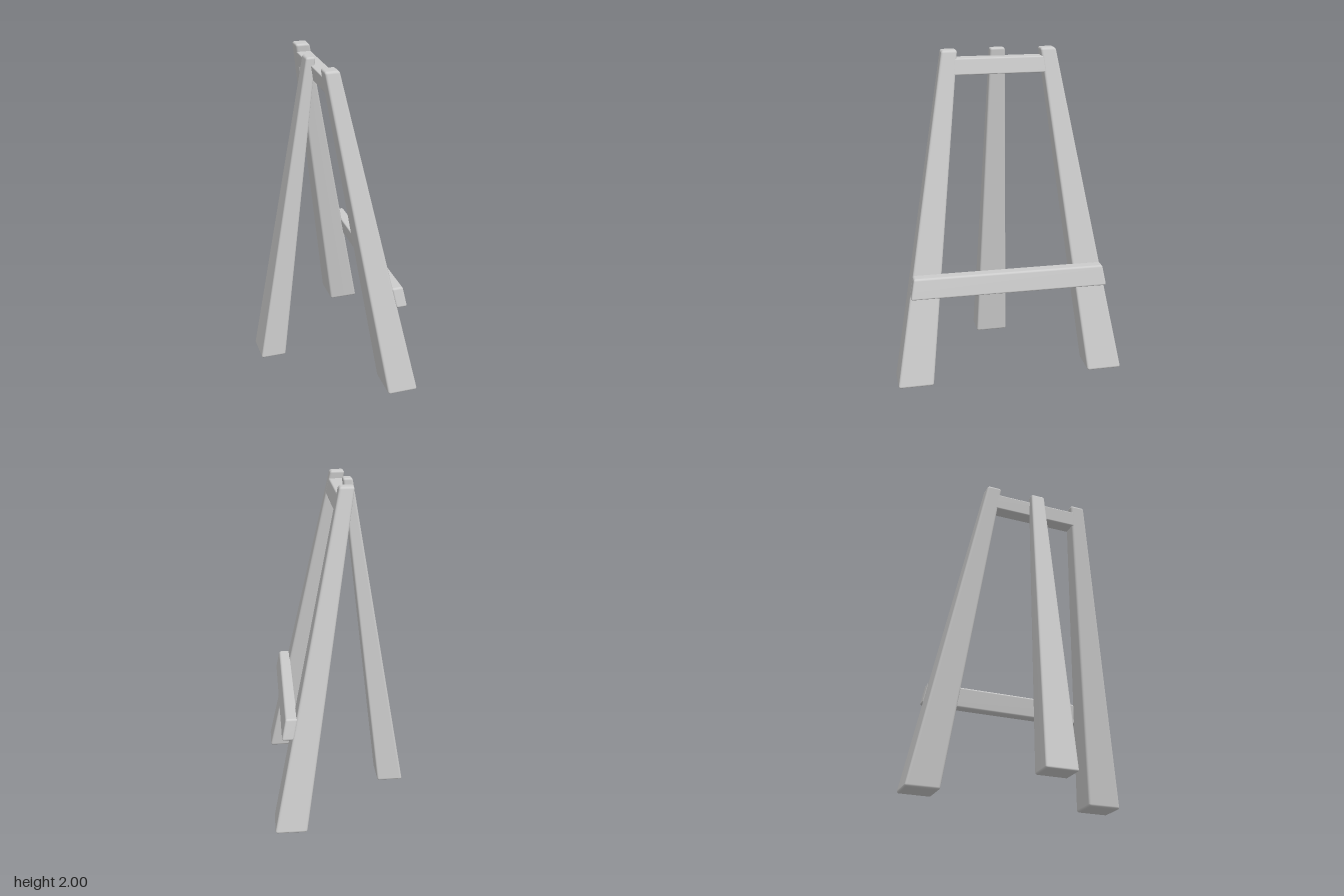
import * as THREE from 'three';
import { RoundedBoxGeometry } from 'three/addons/geometries/RoundedBoxGeometry.js';
import { mergeVertices } from 'three/addons/utils/BufferGeometryUtils.js';

const material = new THREE.MeshStandardMaterial({ color: 0xcccccc });

// Rounded bar that leans and tapers; bottom and top are [xMin, xMax, zMin, zMax]
function taperedBar(name, y0, y1, bottom, top, radius = 0.015) {
  const height = y1 - y0, size = 0.1;
  const geo = new RoundedBoxGeometry(size, height, size, 3, radius);
  const pos = geo.attributes.position;
  const place = (v, lo, hi) => (v < 0 ? lo + v + size / 2 : hi + v - size / 2);
  for (let i = 0; i < pos.count; i++) {
    const y = pos.getY(i);
    const t = y / height + 0.5;
    const [xa, xb, za, zb] = bottom.map((b, k) => THREE.MathUtils.lerp(b, top[k], t));
    pos.setXYZ(i, place(pos.getX(i), xa, xb), y0 + t * height, place(pos.getZ(i), za, zb));
  }
  geo.deleteAttribute('normal');
  geo.deleteAttribute('uv');
  const smooth = mergeVertices(geo);
  smooth.computeVertexNormals();
  const mesh = new THREE.Mesh(smooth, material);
  mesh.name = name;
  return mesh;
}

export function createModel() {
  const easel = new THREE.Group();
  easel.name = 'easel';

  // Two splayed legs joined by the rail and ledge
  for (const [name, s] of [['legA', 1], ['legB', -1]]) {
    const span = (inner, outer) => (s > 0 ? [inner, outer] : [-outer, -inner]);
    easel.add(taperedBar(name, 0, 2,
      [0.235, 0.427, ...span(0.493, 0.713)],
      [-0.078, 0.012, ...span(0.255, 0.351)]));
  }

  // Single prop leg behind them
  easel.add(taperedBar('propLeg', 0, 2,
    [-0.432, -0.268, -0.102, 0.102],
    [-0.097, -0.038, -0.046, 0.046], 0.013));

  // Top rail, flush with the leg faces
  easel.add(taperedBar('topRail', 1.855, 1.952,
    [-0.055, 0.041, -0.3, 0.3],
    [-0.07, 0.021, -0.3, 0.3], 0.008));

  // Ledge resting on the sloping face of the legs
  easel.add(taperedBar('ledge', 0.56, 0.687,
    [0.303, 0.374, -0.613, 0.613],
    [0.277, 0.349, -0.59, 0.59], 0.012));

  return easel;
}
